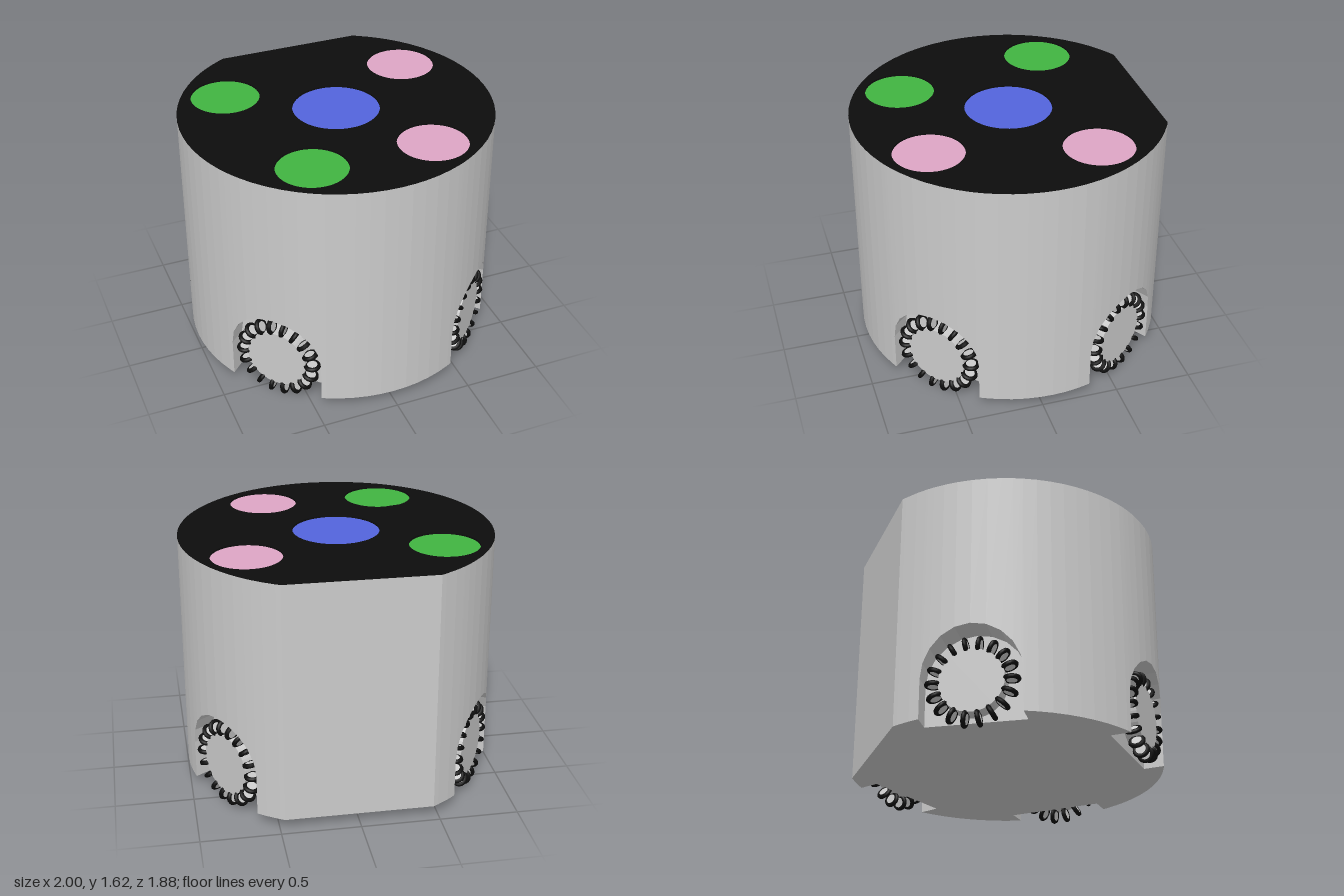
import * as THREE from 'three';

const CZ = -0.065, BOTTOM = 0.07, TOP = 1.625, RECESS = 0.012;
const NICHE_W = 0.31, NICHE_Y = 0.325, NICHE_DEPTH = 0.82;
const WHEEL_Y = 0.29, ROLLERS = 18;
const rad = THREE.MathUtils.degToRad;
// angles run from +x towards +z
const nicheAngles = [-147, -33, 45, 135].map(rad);
const FLAT = [rad(-118), rad(-62)];

const paint = (color, side = THREE.FrontSide) => new THREE.MeshStandardMaterial({ color, side });
const grey = paint(0xcccccc);
const flatGrey = new THREE.MeshStandardMaterial({ color: 0xcccccc, flatShading: true });
const black = paint(0x0d0d0d);
const blackBothSides = paint(0x0d0d0d, THREE.DoubleSide);

function add(parent, name, geometry, material) {
  const mesh = new THREE.Mesh(geometry, material);
  mesh.name = name;
  parent.add(mesh);
  return mesh;
}

// Samples around the rim; those of a wheel niche carry an arch height and a point on its back wall
function rimSamples() {
  const edge = Math.asin(NICHE_W) + 0.01;
  const samples = [];
  const push = (a, extra = {}) =>
    samples.push({ a, p: [Math.cos(a), Math.sin(a) + CZ], niche: -1, y: BOTTOM, ...extra });
  for (let d = -180; d < 180; d += 5) {
    const a = rad(d);
    const inNiche = nicheAngles.some((n) => Math.abs(a - n) < edge);
    if (!inNiche && (a <= FLAT[0] || a >= FLAT[1])) push(a);
  }
  FLAT.forEach((a) => push(a));
  nicheAngles.forEach((n, niche) => {
    for (let k = 0; k <= 10; k++) {
      const t = -NICHE_W * Math.cos((Math.PI * k) / 10);
      const q = [
        Math.cos(n) * NICHE_DEPTH - Math.sin(n) * t,
        Math.sin(n) * NICHE_DEPTH + Math.cos(n) * t + CZ,
      ];
      const y = NICHE_Y + NICHE_W * Math.sin((Math.PI * k) / 10);
      push(n + Math.asin(t), { niche, y, q, first: k === 0, last: k === 10 });
    }
  });
  return samples.sort((s, t) => s.a - t.a);
}

// Outer wall with arched niches: their ceilings, sides and back walls
function shellGeometry(samples) {
  const pos = [];
  const quad = (a, b, c, d) => pos.push(...a, ...b, ...c, ...a, ...c, ...d);
  const at = ([x, z], y) => [x, y, z];
  samples.forEach((s, i) => {
    const n = samples[(i + 1) % samples.length];
    const arch = s.niche >= 0 && s.niche === n.niche;
    const y0 = arch ? s.y : BOTTOM;
    const y1 = arch ? n.y : BOTTOM;
    quad(at(n.p, y1), at(s.p, y0), at(s.p, TOP), at(n.p, TOP));
    if (arch) {
      quad(at(s.p, y0), at(n.p, y1), at(n.q, y1), at(s.q, y0));
      quad(at(n.q, BOTTOM), at(s.q, BOTTOM), at(s.q, y0), at(n.q, y1));
    }
    if (s.first) quad(at(s.p, BOTTOM), at(s.p, s.y), at(s.q, s.y), at(s.q, BOTTOM));
    if (s.last) quad(at(s.q, BOTTOM), at(s.q, s.y), at(s.p, s.y), at(s.p, BOTTOM));
  });
  const g = new THREE.BufferGeometry();
  g.setAttribute('position', new THREE.Float32BufferAttribute(pos, 3));
  g.computeVertexNormals();
  return g;
}

// Omni wheel facing +z: hub disc ringed by small rollers with rubber rings
function createWheel() {
  const wheel = new THREE.Group();
  wheel.name = 'omniWheel';
  const hub = add(wheel, 'wheelHub', new THREE.CylinderGeometry(0.2, 0.2, 0.1, 36), flatGrey);
  hub.rotation.x = Math.PI / 2;
  hub.position.z = -0.02;
  const axle = add(wheel, 'axle', new THREE.CylinderGeometry(0.08, 0.08, 0.08, 20), grey);
  axle.rotation.x = Math.PI / 2;
  axle.position.z = -0.08;
  const discGeo = new THREE.CylinderGeometry(0.043, 0.043, 0.024, 16);
  const ringGeo = new THREE.TorusGeometry(0.04, 0.015, 8, 20).rotateX(Math.PI / 2);
  for (let i = 0; i < ROLLERS; i++) {
    const roller = new THREE.Group();
    roller.name = 'roller';
    const a = (i / ROLLERS) * Math.PI * 2;
    roller.position.set(0.235 * Math.cos(a), 0.235 * Math.sin(a), 0);
    roller.rotation.z = a;
    add(roller, 'rollerDisc', discGeo, grey);
    add(roller, 'rollerRing', ringGeo, black);
    wheel.add(roller);
  }
  return wheel;
}

export function createModel() {
  const model = new THREE.Group();
  model.name = 'wheeledRobot';
  const samples = rimSamples();

  // body shell
  add(model, 'bodyShell', shellGeometry(samples), grey);

  // underside, notched at the niches
  const outline = samples.flatMap((s) => {
    if (s.first) return [s.p, s.q];
    if (s.last) return [s.q, s.p];
    return s.q ? [] : [s.p];
  });
  const base = new THREE.Shape(outline.map(([x, z]) => new THREE.Vector2(x, z)));
  const underside = add(model, 'underside', new THREE.ShapeGeometry(base).rotateX(Math.PI / 2), grey);
  underside.position.y = BOTTOM;

  // black lid with recessed coloured markers
  const lidShape = new THREE.Shape(samples.map(({ p }) => new THREE.Vector2(p[0], -p[1])));
  const markers = [
    ['centreMarker', 0, CZ, 0.277, 0x5364dc],
    ['rightRearMarker', -0.61, -0.45, 0.221, 0x41b441],
    ['rightFrontMarker', -0.39, 0.545, 0.221, 0x41b441],
    ['leftRearMarker', 0.61, -0.45, 0.221, 0xdda5c5],
    ['leftFrontMarker', 0.39, 0.545, 0.221, 0xdda5c5],
  ];
  for (const [name, x, z, r, color] of markers) {
    lidShape.holes.push(new THREE.Path().absarc(x, -z, r, 0, Math.PI * 2, true));
    const disc = add(model, name, new THREE.CircleGeometry(r, 48).rotateX(-Math.PI / 2), paint(color));
    disc.position.set(x, TOP - RECESS, z);
    const wallGeo = new THREE.CylinderGeometry(r, r, RECESS, 48, 1, true);
    const wall = add(model, name + 'Rim', wallGeo, blackBothSides);
    wall.position.set(x, TOP - RECESS / 2, z);
  }
  const lid = add(model, 'lid', new THREE.ShapeGeometry(lidShape, 24).rotateX(-Math.PI / 2), black);
  lid.position.y = TOP;

  // four wheels facing outwards
  for (const a of nicheAngles) {
    const wheel = createWheel();
    wheel.position.set(0.92 * Math.cos(a), WHEEL_Y, 0.92 * Math.sin(a) + CZ);
    wheel.rotation.y = Math.PI / 2 - a;
    model.add(wheel);
  }
  return model;
}
